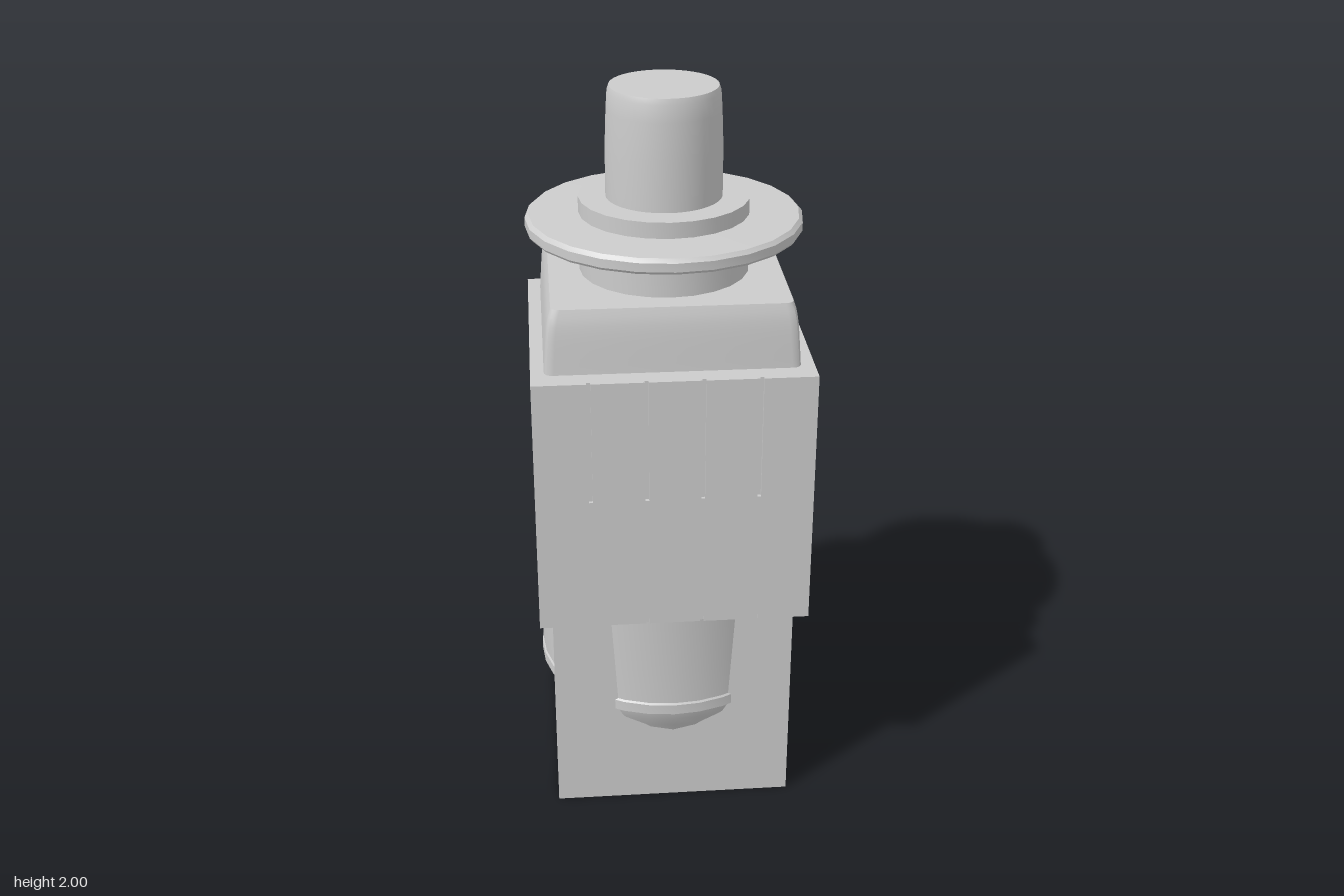
import * as THREE from 'three';
import { toCreasedNormals } from 'three/addons/utils/BufferGeometryUtils.js';

const grey = new THREE.MeshStandardMaterial({ color: 0xcccccc });
grey.name = 'light grey';

function add(group, name, geometry) {
  const mesh = new THREE.Mesh(toCreasedNormals(geometry, 0.45), grey);
  mesh.name = name;
  group.add(mesh);
  return mesh;
}

// Turned part from [radius, height] pairs, listed from bottom to top
function turned(profile, sides) {
  return new THREE.LatheGeometry(profile.map(([r, y]) => new THREE.Vector2(r, y)), sides);
}

// Upright extrusion of a plan shape between two heights
function upright(shape, y0, y1, steps = 1) {
  const g = new THREE.ExtrudeGeometry(shape, { depth: y1 - y0, bevelEnabled: false, steps, curveSegments: 4 });
  return g.rotateX(-Math.PI / 2).translate(0, y0, 0);
}

function rectPoints(hx, hz) {
  return [[-hx, -hz], [hx, -hz], [hx, hz], [-hx, hz]].map(([x, z]) => new THREE.Vector2(x, z));
}

// Square plan with four narrow grooves in the front and back edges
function groovedSquare(h, depth) {
  const half = 0.005;
  const points = [];
  for (const s of [-1, 1]) {
    points.push(new THREE.Vector2(s * h, s * h));
    for (const gx of [-0.22, -0.073, 0.073, 0.22]) {
      const x = -s * gx;
      for (const [dx, inset] of [[s, 0], [s, depth], [-s, depth], [-s, 0]]) {
        points.push(new THREE.Vector2(x + dx * half, s * (h - inset)));
      }
    }
    points.push(new THREE.Vector2(-s * h, s * h));
  }
  // Each edge runs onward around the square, counter-clockwise
  const ordered = [];
  for (const s of [-1, 1]) {
    const edge = points.filter((p) => Math.sign(p.y) === s);
    const corners = edge.filter((p) => Math.abs(p.x) > h - 0.001).sort((a, b) => -s * (a.x - b.x));
    const grooves = edge.filter((p) => Math.abs(p.x) < h - 0.001);
    ordered.push(corners[0], ...grooves, corners[1]);
  }
  return new THREE.Shape(ordered);
}

function roundedRect(hx, hz, r) {
  const s = new THREE.Shape();
  s.moveTo(-hx + r, -hz).lineTo(hx - r, -hz);
  s.quadraticCurveTo(hx, -hz, hx, -hz + r).lineTo(hx, hz - r);
  s.quadraticCurveTo(hx, hz, hx - r, hz).lineTo(-hx + r, hz);
  s.quadraticCurveTo(-hx, hz, -hx, hz - r).lineTo(-hx, -hz + r);
  s.quadraticCurveTo(-hx, -hz, -hx + r, -hz);
  return s;
}

export function createModel() {
  const model = new THREE.Group();
  model.name = 'plungerSwitch';

  // Open-bottomed skirt
  const skirt = new THREE.Shape(rectPoints(0.33, 0.32));
  skirt.holes.push(new THREE.Path(rectPoints(0.322, 0.312).reverse()));
  add(model, 'skirt', upright(skirt, 0, 0.62));

  // Round barrel that bulges through the skirt walls
  add(model, 'barrel', turned([
    [0, 0.18], [0.3, 0.18], [0.33, 0.25], [0.35, 0.285], [0.357, 0.31],
    [0.361, 0.31], [0.361, 0.34], [0.357, 0.345], [0.36, 0.45], [0.365, 0.62],
  ], 32));

  // Square body, grooved near the top and notched at its lower rim
  const plain = new THREE.Shape(rectPoints(0.365, 0.365));
  const body = new THREE.Group();
  body.name = 'body';
  model.add(body);
  add(body, 'bodyRim', upright(groovedSquare(0.365, 0.01), 0.62, 0.635));
  add(body, 'bodyMiddle', upright(plain, 0.635, 1.0));
  add(body, 'bodyGrooved', upright(groovedSquare(0.365, 0.01), 1.0, 1.34));

  // Collar with sides that lean inward and round off at the top
  const collar = upright(roundedRect(0.33, 0.318, 0.025), 1.34, 1.51, 8);
  const p = collar.attributes.position;
  for (let i = 0; i < p.count; i++) {
    const t = (p.getY(i) - 1.34) / 0.17;
    const k = 1 - (0.012 * t + 0.01 * t ** 6) / 0.33;
    p.setXYZ(i, p.getX(i) * k, p.getY(i), p.getZ(i) * k);
  }
  add(model, 'collar', collar).position.z = -0.012;

  // Neck, flange and plunger
  add(model, 'neck', turned([[0.225, 1.5], [0.225, 1.71], [0, 1.71]], 24));
  add(model, 'flange', turned([
    [0.2, 1.625], [0.36, 1.625], [0.365, 1.632], [0.365, 1.655], [0.355, 1.665], [0.2, 1.668],
  ], 24));
  add(model, 'plunger', turned([
    [0.153, 1.7], [0.153, 1.84], [0.149, 1.94], [0.146, 1.985], [0.141, 2], [0, 2],
  ], 48));

  return model;
}
